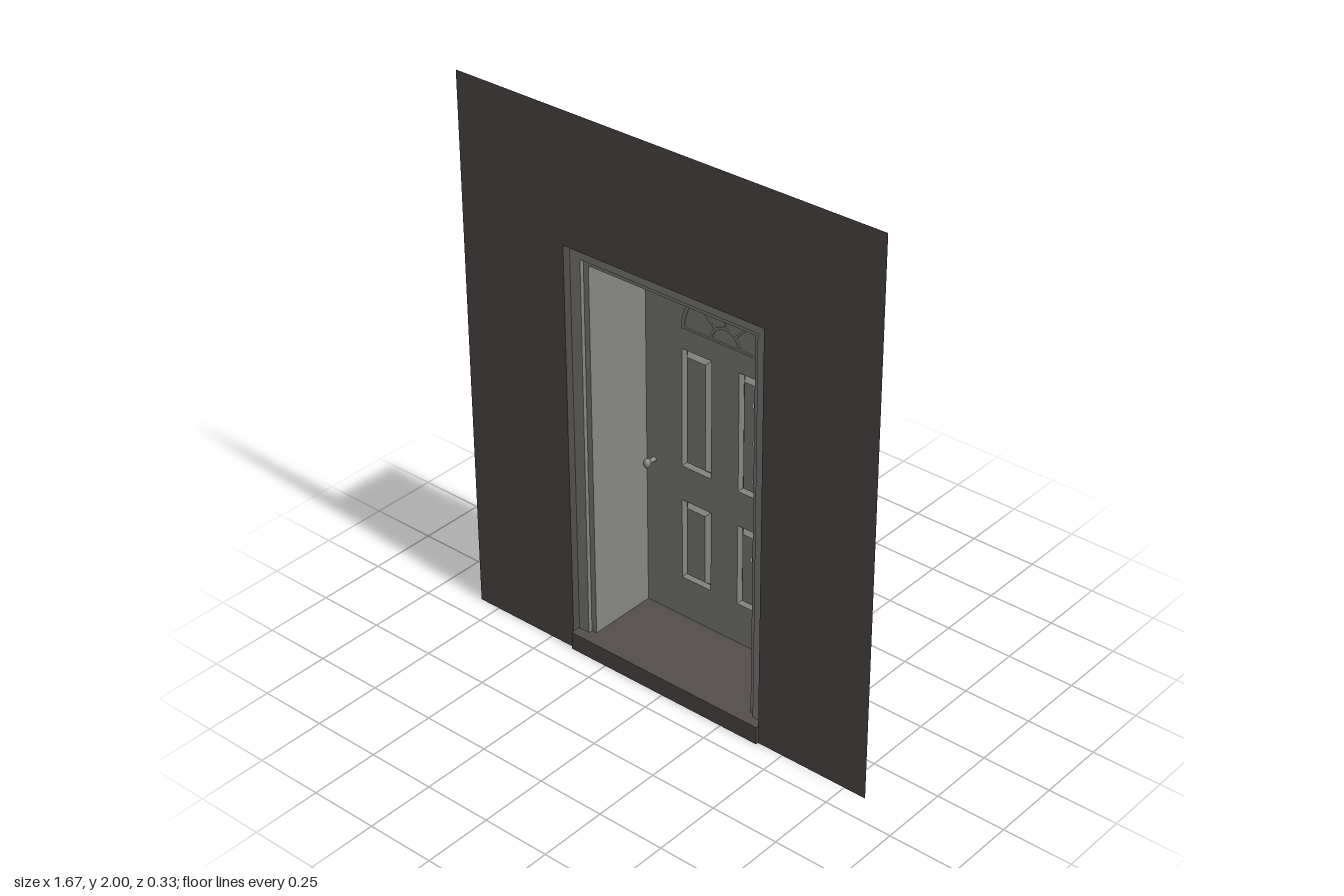
import * as THREE from 'three';

const wallMat = new THREE.MeshStandardMaterial({ color: 0x544f4d, side: THREE.DoubleSide });
wallMat.name = 'dark wall';
const doorMat = new THREE.MeshStandardMaterial({ color: 0x878783, side: THREE.DoubleSide });
doorMat.name = 'grey paint';

const OPEN_X = 0.4, OPEN_TOP = 1.535, SILL = 0.067;
const WALL_Z = 0.157, DOOR_Z = -0.15;

function add(parent, name, geometry, material, x = 0, y = 0, z = 0) {
  const mesh = new THREE.Mesh(geometry, material);
  mesh.name = name;
  mesh.position.set(x, y, z);
  parent.add(mesh);
  return mesh;
}

// Flat-faced skin joining successive rows of points
function skin(rows, closed) {
  const pos = [];
  for (let r = 0; r + 1 < rows.length; r++) {
    const a = rows[r], b = rows[r + 1], n = a.length;
    for (let i = 0; i < (closed ? n : n - 1); i++) {
      const j = (i + 1) % n;
      pos.push(...a[i], ...a[j], ...b[j], ...a[i], ...b[j], ...b[i]);
    }
  }
  const g = new THREE.BufferGeometry();
  g.setAttribute('position', new THREE.Float32BufferAttribute(pos, 3));
  g.computeVertexNormals();
  return g;
}

// Row round the two jambs and the head, inset from the opening
function archRow(inset, z, bottom) {
  const x = OPEN_X - inset, top = OPEN_TOP - inset;
  return [[-x, bottom, z], [-x, top, z], [x, top, z], [x, bottom, z]];
}

function rectRow(w, h, inset, z) {
  const x = w / 2 - inset, y = h / 2 - inset;
  return [[-x, -y, z], [x, -y, z], [x, y, z], [-x, y, z]];
}

function rectPath(path, x0, y0, x1, y1) {
  path.moveTo(x0, y0);
  path.lineTo(x1, y0);
  path.lineTo(x1, y1);
  path.lineTo(x0, y1);
  path.closePath();
  return path;
}

// Half-round moulding bar
function halfRing(outer, inner, depth) {
  const s = new THREE.Shape();
  s.absarc(0, 0, outer, 0, Math.PI, false);
  s.absarc(0, 0, inner, Math.PI, 0, true);
  s.closePath();
  return new THREE.ExtrudeGeometry(s, { depth, bevelEnabled: false, curveSegments: 24 });
}

export function createModel() {
  const model = new THREE.Group();
  model.name = 'doorway';

  // Wall sheet with the door opening
  const wall = new THREE.Shape();
  [[-0.833, 0], [-OPEN_X, 0], [-OPEN_X, OPEN_TOP], [OPEN_X, OPEN_TOP],
    [OPEN_X, 0], [0.833, 0], [0.833, 2], [-0.833, 2]]
    .forEach(([x, y], i) => (i ? wall.lineTo(x, y) : wall.moveTo(x, y)));
  add(model, 'wall', new THREE.ShapeGeometry(wall), wallMat, 0, 0, WALL_Z);

  // Sides and top of the opening
  add(model, 'reveal', skin([archRow(0, WALL_Z, 0), archRow(0, -0.05, 0)], false), wallMat);

  // Doorstep
  add(model, 'doorstep', new THREE.BoxGeometry(2 * OPEN_X, SILL, 0.317),
    wallMat, 0, SILL / 2, 0.0085);

  // Stepped hollow door frame, open at the back
  const profile = [[0.002, DOOR_Z], [0.002, 0.13], [0.045, 0.13],
    [0.045, 0.115], [0.066, 0.115], [0.066, DOOR_Z]];
  add(model, 'doorFrame', skin(profile.map(([d, z]) => archRow(d, z, SILL)), false), doorMat);

  // Door leaf with four panel openings
  const door = new THREE.Group();
  door.name = 'door';
  door.position.z = DOOR_Z;
  model.add(door);
  const leaf = rectPath(new THREE.Shape(), -0.334, SILL, 0.334, 1.469);
  const panels = [];
  for (const side of [-1, 1]) {
    for (const [y0, y1] of [[0.225, 0.535], [0.668, 1.113]]) {
      panels.push({ x: side * 0.119, y: (y0 + y1) / 2, w: 0.124, h: y1 - y0 });
    }
  }
  for (const p of panels) {
    leaf.holes.push(rectPath(new THREE.Path(),
      p.x - p.w / 2, p.y - p.h / 2, p.x + p.w / 2, p.y + p.h / 2));
  }
  add(door, 'doorLeaf', new THREE.ShapeGeometry(leaf), doorMat);

  // Pressed panels: a groove, then a bevel rising to the flat field
  for (const p of panels) {
    const rows = [[0, 0], [0.007, -0.017], [0.011, -0.017], [0.023, 0.002], [0.0619, 0.002]]
      .map(([d, z]) => rectRow(p.w, p.h, d, z));
    add(door, 'doorPanel', skin(rows, true), doorMat, p.x, p.y, 0);
  }

  // Fan-shaped moulding
  const fan = new THREE.Group();
  fan.name = 'fanMoulding';
  fan.position.set(0, 1.195, -0.004);
  door.add(fan);
  const depth = 0.008;
  add(fan, 'fanOuterArc', halfRing(0.18, 0.167, depth), doorMat);
  add(fan, 'fanInnerArc', halfRing(0.062, 0.052, depth), doorMat);
  add(fan, 'fanBase', new THREE.BoxGeometry(0.36, 0.008, depth), doorMat, 0, 0, depth / 2);
  for (const angle of [Math.PI / 4, Math.PI / 2, 3 * Math.PI / 4]) {
    const spoke = add(fan, 'fanSpoke', new THREE.BoxGeometry(0.112, 0.008, depth), doorMat,
      Math.cos(angle) * 0.114, Math.sin(angle) * 0.114, depth / 2);
    spoke.rotation.z = angle;
  }

  // Door knob on a short stem
  const knob = new THREE.Group();
  knob.name = 'doorKnob';
  knob.position.set(-0.302, 0.645, 0);
  door.add(knob);
  const stem = add(knob, 'knobStem', new THREE.CylinderGeometry(0.006, 0.009, 0.03, 12),
    doorMat, 0, 0, 0.015);
  stem.rotation.x = Math.PI / 2;
  const ball = add(knob, 'knobBall', new THREE.SphereGeometry(0.018, 16, 12),
    doorMat, 0, 0, 0.036);
  ball.scale.set(0.75, 1, 0.75);

  return model;
}
